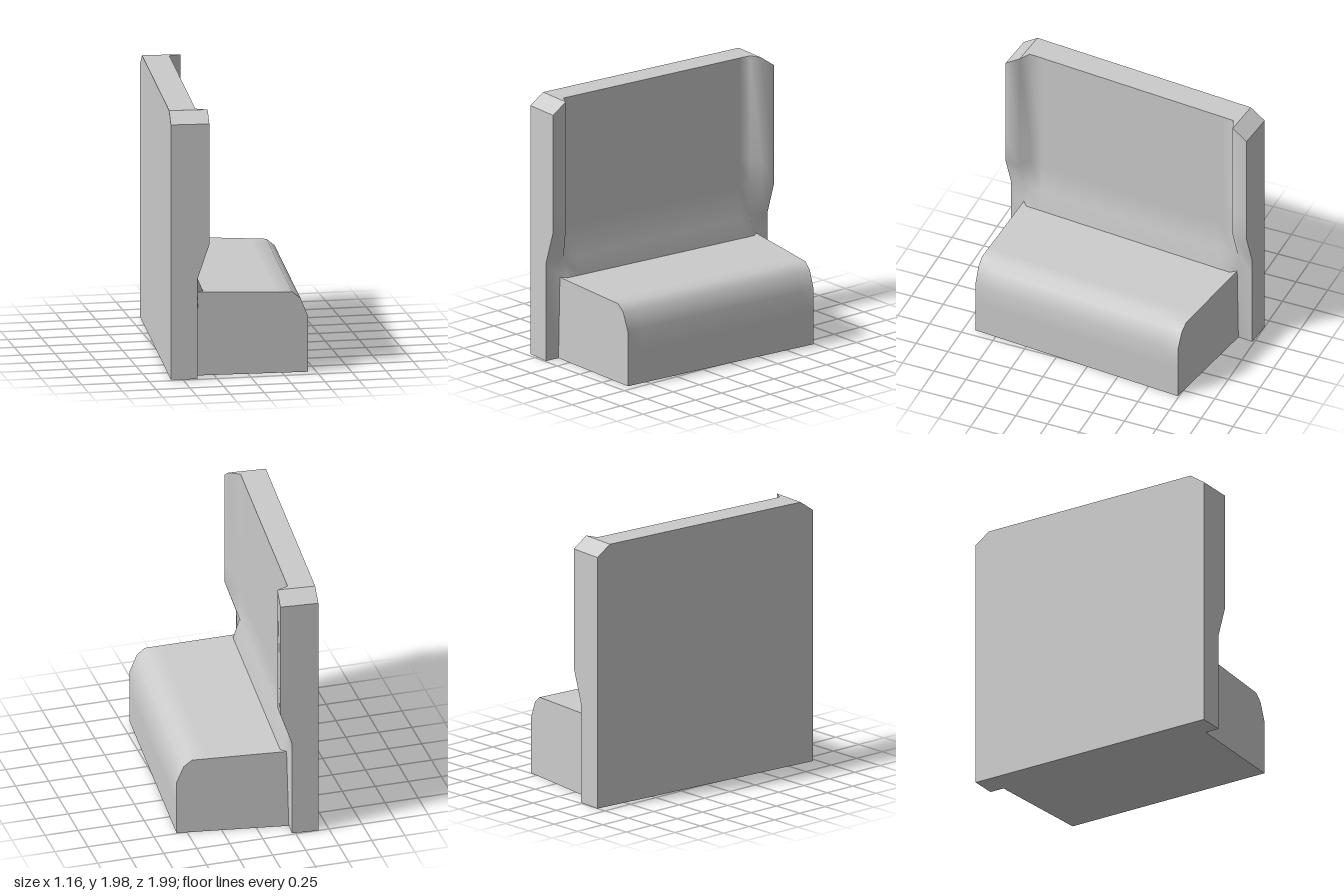
import * as THREE from 'three';
import { toCreasedNormals } from 'three/addons/utils/BufferGeometryUtils.js';

const material = new THREE.MeshStandardMaterial({ color: 0xcccccc, side: THREE.DoubleSide });

// Skin between cross-sections; each section is a list of [depth, height, along] points
function loft(sections, { closed = false, caps = false, crease = 0.3 } = {}) {
  const pos = [];
  const n = sections[0].length;
  for (let i = 0; i < sections.length - 1; i++) {
    for (let j = 0; j < (closed ? n : n - 1); j++) {
      const k = (j + 1) % n;
      const a = sections[i][j], b = sections[i][k], c = sections[i + 1][k], d = sections[i + 1][j];
      pos.push(...a, ...b, ...c, ...a, ...c, ...d);
    }
  }
  if (caps) {
    const first = sections[0], last = sections[sections.length - 1];
    const faces = THREE.ShapeUtils.triangulateShape(last.map(p => new THREE.Vector2(p[0], p[1])), []);
    for (const [a, b, c] of faces) {
      pos.push(...last[a], ...last[b], ...last[c]);
      pos.push(...first[c], ...first[b], ...first[a]);
    }
  }
  const geometry = new THREE.BufferGeometry();
  geometry.setAttribute('position', new THREE.Float32BufferAttribute(pos, 3));
  return toCreasedNormals(geometry, crease);
}

function addPart(group, name, geometry) {
  const mesh = new THREE.Mesh(geometry, material);
  mesh.name = name;
  group.add(mesh);
}

export function createModel() {
  const bench = new THREE.Group();
  bench.name = 'boothBench';
  const BACK = -0.502, PANEL = -0.306, WING = -0.221, CENTRE = 0.027;

  // Backrest: wings at both ends step forward of the middle panel
  // [distance from the middle, front of wing, top height, foot of the fillet]
  const half = [
    [0.989, WING, 1.9, PANEL],
    [0.875, WING, 1.98, -0.29],
    [0.835, PANEL, 1.98, -0.25],
    [0.74, PANEL, 1.98, -0.25],
  ];
  const stations = [
    ...half.map(([w, ...rest]) => [-w, ...rest]),
    ...half.slice().reverse(),
  ];
  const profiles = stations.map(([w, front, top, foot]) => [
    [BACK, 0], [PANEL, 0], [foot, 0.62], [PANEL, 0.75],
    [front, 1], [front, 1.2], [front, top], [BACK, top],
  ].map(([x, y]) => [x, y, w + CENTRE]));

  addPart(bench, 'backrestFront', loft(profiles.map(p => p.slice(1, 7)), { crease: 1.25 }));
  addPart(bench, 'backrestShell', loft(profiles.map(p => [p[6], p[7], p[0], p[1]])));
  // End panels
  const ends = [profiles[0], profiles[profiles.length - 1]];
  const endGeometry = loft(ends, { caps: true });
  // Keep only the two caps (the skin comes first: 7 quads of 6 vertices)
  const skin = 7 * 6;
  for (const key of ['position', 'normal']) {
    endGeometry.setAttribute(key, new THREE.Float32BufferAttribute(endGeometry.attributes[key].array.slice(skin * 3), 3));
  }
  addPart(bench, 'backrestEnds', endGeometry);

  // Seat: sides taper slightly towards the rounded front edge
  const seatProfile = [
    [-0.32, 0], [0.513, 0], [0.513, 0.25], [0.513, 0.42], [0.46, 0.55],
    [0.4, 0.6], [0.28, 0.604], [-0.32, 0.623],
  ];
  const rightSide = x => -0.826 + 0.078 * x;
  const leftSide = x => 0.894 - 0.035 * x;
  const seatSections = [0, 0.08, 0.92, 1].map(t => seatProfile.map(([x, y]) =>
    [x, y, THREE.MathUtils.lerp(rightSide(x), leftSide(x), t)]));
  addPart(bench, 'seat', loft(seatSections, { closed: true, caps: true, crease: 1.2 }));

  // The bench stands slightly turned
  bench.rotation.y = -0.0836;
  const model = new THREE.Group();
  model.add(bench);
  return model;
}
